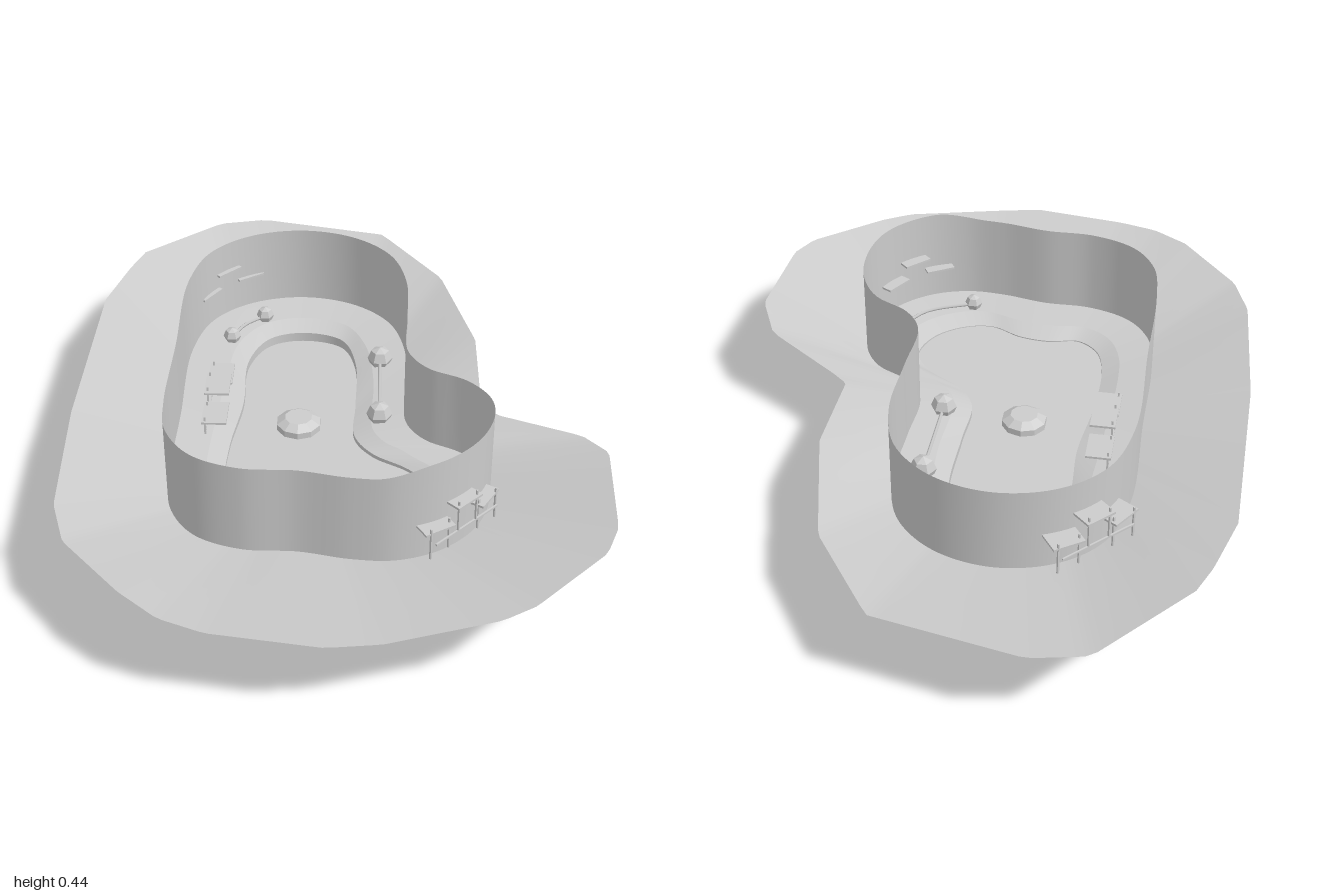
import * as THREE from 'three';

const RAYS = 240;
const CENTER = [-0.1, 0.1];

const mat = new THREE.MeshStandardMaterial({ color: 0xcccccc, side: THREE.DoubleSide });
const flatMat = new THREE.MeshStandardMaterial({ color: 0xcccccc, side: THREE.DoubleSide, flatShading: true });

// Outlines as [x, z] (the bank also has a height), clockwise from the back
const POOL = [[-0.115, -0.475], [0, -0.44], [0.045, -0.32], [0.05, -0.1], [0.05, 0.05], [0.1, 0.13], [0.2, 0.2],
  [0.25, 0.28], [0.22, 0.38], [0.14, 0.445], [0.06, 0.46], [-0.03, 0.42], [-0.12, 0.41], [-0.2, 0.425],
  [-0.26, 0.38], [-0.287, 0.29], [-0.287, 0.1], [-0.265, -0.1], [-0.265, -0.32], [-0.21, -0.44]];
const WALL = [[-0.12, -0.637], [0.03, -0.6], [0.14, -0.5], [0.188, -0.35], [0.19, -0.15], [0.19, 0.02], [0.24, 0.1],
  [0.34, 0.16], [0.395, 0.25], [0.4, 0.36], [0.36, 0.47], [0.27, 0.56], [0.16, 0.602], [0.05, 0.6], [-0.08, 0.575],
  [-0.22, 0.57], [-0.34, 0.52], [-0.41, 0.42], [-0.43, 0.28], [-0.43, 0], [-0.43, -0.33], [-0.38, -0.5], [-0.27, -0.6]];
const BANK = [[-0.26, -1, 0.24], [0.12, -0.92, 0.235], [0.3, -0.66, 0.23], [0.39, -0.3, 0.235], [0.395, 0, 0.21],
  [0.44, 0.04, 0.21], [0.65, 0.17, 0.24], [0.705, 0.28, 0.268], [0.695, 0.58, 0.265], [0.66, 0.67, 0.26],
  [0.48, 0.85, 0.25], [0.4, 0.9, 0.25], [0.13, 0.98, 0.245], [0, 1, 0.25], [-0.27, 0.96, 0.25], [-0.38, 0.92, 0.255],
  [-0.48, 0.84, 0.262], [-0.64, 0.65, 0.25], [-0.685, 0.51, 0.25], [-0.71, 0.1, 0.24], [-0.7, -0.47, 0.25],
  [-0.65, -0.65, 0.255], [-0.615, -0.74, 0.26], [-0.4, -0.97, 0.24]];

function smooth(points) {
  const curve = new THREE.CatmullRomCurve3(points.map(([x, z]) => new THREE.Vector3(x, 0, z)), true);
  return curve.getPoints(200).slice(0, -1).map(p => [p.x, p.z, 0]);
}

// Where evenly spread rays from the centre cross an outline
function ring(outline) {
  const polar = outline.map(([x, z, y]) => ({ x, z, y, a: Math.atan2(z - CENTER[1], x - CENTER[0]) }));
  const result = [];
  for (let i = 0; i < RAYS; i++) {
    const t = (i / RAYS) * Math.PI * 2;
    const dx = Math.cos(t), dz = Math.sin(t);
    let best = null;
    polar.forEach((p, k) => {
      const q = polar[(k + 1) % polar.length];
      const cp = (p.z - CENTER[1]) * dx - (p.x - CENTER[0]) * dz;
      const cq = (q.z - CENTER[1]) * dx - (q.x - CENTER[0]) * dz;
      if (cp * cq > 0 || cp === cq) return;
      const f = cp / (cp - cq);
      const x = p.x + (q.x - p.x) * f, z = p.z + (q.z - p.z) * f;
      const d = (x - CENTER[0]) * dx + (z - CENTER[1]) * dz;
      if (d > 0 && (!best || d > best.d)) best = { d, v: new THREE.Vector3(x, p.y + (q.y - p.y) * f, z) };
    });
    result.push(best.v);
  }
  return result;
}

const atHeight = (r, h) => r.map(p => new THREE.Vector3(p.x, typeof h === 'function' ? h(p) : h, p.z));
const between = (a, b, t, h) => a.map((p, i) => p.clone().lerp(b[i], t).setY(h));

// Closed strip of surface from ring a to ring b
function strip(name, a, b) {
  const pos = [], index = [];
  [...a, ...b].forEach(p => pos.push(p.x, p.y, p.z));
  for (let i = 0; i < RAYS; i++) {
    const j = (i + 1) % RAYS;
    index.push(i, j, RAYS + i, j, RAYS + j, RAYS + i);
  }
  const g = new THREE.BufferGeometry();
  g.setAttribute('position', new THREE.Float32BufferAttribute(pos, 3));
  g.setIndex(index);
  g.computeVertexNormals();
  const m = new THREE.Mesh(g, mat);
  m.name = name;
  return m;
}

function add(parent, name, geometry, x, y, z, material = flatMat) {
  const m = new THREE.Mesh(geometry, material);
  m.name = name;
  m.position.set(x, y, z);
  parent.add(m);
  return m;
}

// Three plates in a row along local x, bent into an arc, on thin posts
function stand(name, x, z, turn, y, rise, bend, width) {
  const g = new THREE.Group();
  g.name = name;
  for (let i = -1; i <= 1; i++) {
    const h = i === 0 ? rise : 0;
    const plate = add(g, 'plate', new THREE.BoxGeometry(width, 0.006, 0.068), i * width * 0.97, h, -Math.abs(i) * bend * width * 0.5);
    plate.rotation.y = i * bend;
    for (const s of [-0.5, 0.5]) {
      add(g, 'post', new THREE.BoxGeometry(0.005, 0.09, 0.005), (i + s * 0.75) * width, h - 0.03, 0.025 - Math.abs(i) * bend * width * 0.5);
    }
  }
  add(g, 'rail', new THREE.BoxGeometry(width * 2.6, 0.005, 0.005), 0, -0.03, 0.025);
  g.position.set(x, y, z);
  g.rotation.y = turn;
  return g;
}

// Two faceted balls joined by a low rail through a middle point
function ballRail(name, a, mid, b, r) {
  const g = new THREE.Group();
  g.name = name;
  const y = 0.175;
  for (const [x, z] of [a, b]) {
    add(g, 'ball', new THREE.SphereGeometry(r, 6, 4), x, y, z);
    add(g, 'ballFoot', new THREE.CylinderGeometry(r * 0.4, r * 0.5, 0.03, 6), x, y - 0.025, z);
  }
  const path = new THREE.CatmullRomCurve3([a, mid, b].map(([x, z]) => new THREE.Vector3(x, y - 0.004, z)));
  add(g, 'rail', new THREE.TubeGeometry(path, 12, 0.005, 5), 0, 0, 0, mat);
  return g;
}

export function createModel() {
  const model = new THREE.Group();
  const pool = ring(smooth(POOL)), wall = ring(smooth(WALL)), bank = ring(BANK);

  // Pool basin, sloped ledge and surrounding bank
  const rim = atHeight(pool, 0.14);
  const ledge = between(pool, wall, 0.35, 0.158);
  const wallFoot = atHeight(wall, 0.168);
  model.add(strip('poolSide', atHeight(pool, 0.012), rim));
  model.add(strip('poolSlope', ledge, rim));
  model.add(strip('walkway', wallFoot, ledge));
  model.add(strip('bank', bank, wallFoot));

  // Tall thin wall, rising toward the front lobe
  const top = p => 0.4 + 0.017 * THREE.MathUtils.smoothstep(p.z, 0.1, 0.5)
    + 0.024 * THREE.MathUtils.smoothstep(p.x, 0.1, 0.26) * THREE.MathUtils.smoothstep(p.z, 0.1, 0.45);
  model.add(strip('wall', wallFoot, atHeight(wall, top)));

  // Ground sheet and slightly tilted water sheet
  const sheet = new THREE.PlaneGeometry(0.635, 1.02).rotateX(-Math.PI / 2);
  add(model, 'groundSheet', sheet, -0.025, 0, -0.01, mat);
  add(model, 'waterSheet', sheet, -0.025, 0.125, -0.01, mat).rotation.x = -0.028;

  // Small faceted fountain
  const profile = [[0.045, 0], [0.062, 0.012], [0.062, 0.03], [0.038, 0.045], [0, 0.045]];
  add(model, 'fountain', new THREE.LatheGeometry(profile.map(p => new THREE.Vector2(...p)), 10), -0.105, 0.122, 0);

  // Plate stands through the wall and along its left side
  model.add(stand('frontStand', 0.315, 0.525, 0.8, 0.265, 0.045, 0.25, 0.085));
  model.add(stand('backStand', -0.355, -0.56, 0.8 + Math.PI, 0.265, 0.045, 0.2, 0.085));
  model.add(stand('sideStand', -0.33, -0.06, -Math.PI / 2, 0.2, 0.03, 0, 0.1));

  // Ball-ended rails round the pool
  model.add(ballRail('sideRail', [0.117, -0.29], [0.117, -0.15], [0.117, -0.01], 0.036));
  model.add(ballRail('backRail', [-0.23, -0.52], [-0.285, -0.47], [-0.32, -0.4], 0.026));
  model.add(ballRail('frontRail', [0.33, 0.335], [0.265, 0.46], [0.13, 0.53], 0.026));

  return model;
}
